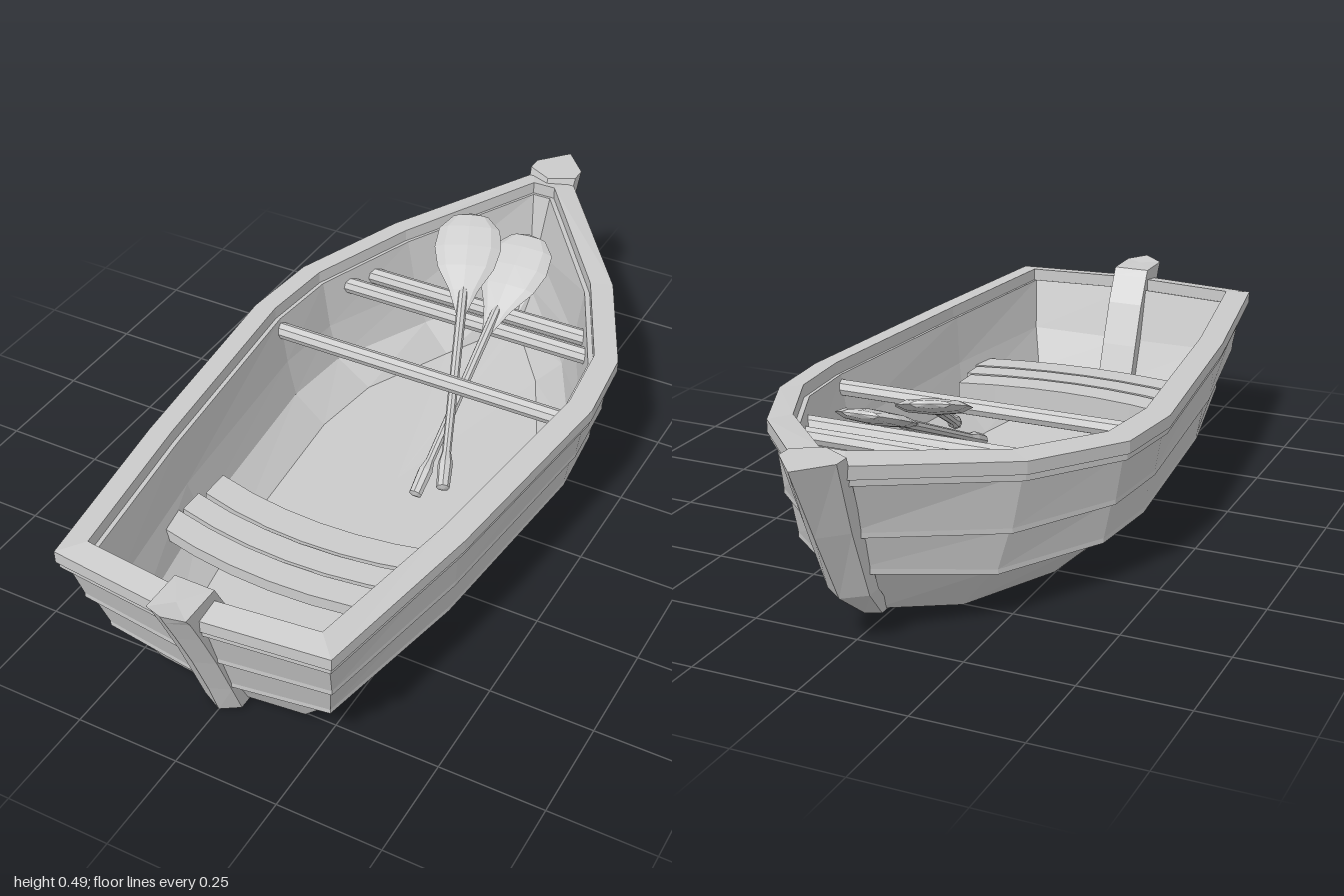
import * as THREE from 'three';

const material = new THREE.MeshStandardMaterial({ color: 0xcccccc, flatShading: true, side: THREE.DoubleSide });

// Half outlines [x, y, z] from stern centre to bow, one for each plank seam
const seams = [
  [[0, .025, .79], [.185, .025, .77], [.25, .025, .4], [.29, .025, -.1], [.265, .025, -.3], [.15, .025, -.54], [.02, .06, -.7]],
  [[0, .112, .835], [.27, .13, .81], [.345, .125, .42], [.392, .125, -.1], [.372, .125, -.3], [.235, .132, -.56], [.025, .19, -.79]],
  [[0, .225, .88], [.3, .235, .85], [.37, .228, .44], [.418, .222, -.1], [.4, .222, -.3], [.27, .232, -.56], [.03, .285, -.83]],
  [[0, .35, .925], [.323, .35, .89], [.39, .338, .45], [.445, .333, -.1], [.425, .337, -.3], [.3, .362, -.56], [.05, .422, -.87]],
];

// Full loop of a seam, pushed outward in plan by d and raised by dy
function outline(half, d = 0, dy = 0) {
  const pts = [...half, ...half.slice(1).reverse().map(([x, y, z]) => [-x, y, z])];
  const n = pts.length;
  const normal = (a, b) => {
    const dx = b[0] - a[0], dz = b[2] - a[2], l = Math.hypot(dx, dz);
    return [-dz / l, dx / l];
  };
  return pts.map((p, i) => {
    const a = normal(pts[(i + n - 1) % n], p), b = normal(p, pts[(i + 1) % n]);
    const k = d / (1 + a[0] * b[0] + a[1] * b[1]);
    let x = p[0] + (a[0] + b[0]) * k;
    if (x * p[0] < 0) x = 0;
    return [x, p[1] + dy, p[2] + (a[1] + b[1]) * k];
  });
}

// Ring of the same size collapsed to one point, used to close ends
const collapse = (ring, point) => ring.map(() => point);
const centre = ring => [0, 1, 2].map(k => ring.reduce((s, p) => s + p[k], 0) / ring.length);
const capped = rings => {
  const a = rings[0], b = rings[rings.length - 1];
  return [collapse(a, centre(a)), ...rings, collapse(b, centre(b))];
};

// Skin of quads through a list of equal closed rings
function loft(rings, loop = false) {
  const pos = [];
  const same = (p, q) => p.every((v, k) => Math.abs(v - q[k]) < 1e-6);
  const tri = (a, b, c) => {
    if (!same(a, b) && !same(b, c) && !same(a, c)) pos.push(...a, ...b, ...c);
  };
  const n = rings[0].length;
  for (let i = 0; i < rings.length - (loop ? 0 : 1); i++) {
    const lo = rings[i], hi = rings[(i + 1) % rings.length];
    for (let j = 0; j < n; j++) {
      const k = (j + 1) % n;
      tri(lo[j], lo[k], hi[k]);
      tri(lo[j], hi[k], hi[j]);
    }
  }
  const g = new THREE.BufferGeometry();
  g.setAttribute('position', new THREE.Float32BufferAttribute(pos, 3));
  g.computeVertexNormals();
  return g;
}

function part(name, geometry, parent) {
  const mesh = new THREE.Mesh(geometry, material);
  mesh.name = name;
  parent.add(mesh);
  return mesh;
}

// Oar from handle end to blade tip: tapered shaft, knob and flattened blade
function oar(name, handle, tip, parent) {
  const group = new THREE.Group();
  group.name = name;
  const from = new THREE.Vector3(...handle), to = new THREE.Vector3(...tip);
  const length = from.distanceTo(to);
  const lathe = profile => new THREE.LatheGeometry(profile.map(([r, y]) => new THREE.Vector2(r, y)), 8).rotateX(Math.PI / 2);
  part('oarShaft', lathe([[0, 0], [.016, .005], [.018, .07], [.011, .1], [.013, length - .25], [0, length - .2]]), group);
  const blade = lathe([[0, -.34], [.016, -.3], [.036, -.24], [.072, -.17], [.085, -.11], [.078, -.05], [.045, -.01], [0, 0]]);
  part('oarBlade', blade.scale(1, .2, 1).translate(0, 0, length), group);
  group.position.copy(from);
  group.lookAt(to);
  parent.add(group);
}

export function createModel() {
  const boat = new THREE.Group();
  boat.name = 'rowingBoat';
  const [keel, low, mid, top] = seams;

  // Overlapping planks outside, plain lining inside
  const floor = outline(keel, -.02, .03);
  part('hull', loft([
    collapse(floor, [0, .025, 0]), outline(keel), outline(low),
    outline(low, .012, -.006), outline(low, .012, .006), outline(mid),
    outline(mid, .01, -.006), outline(mid, .01, .006), outline(top),
    outline(top, -.055, .015), outline(mid, -.045), outline(low, -.04),
    floor, collapse(floor, [0, .055, 0]),
  ]), boat);

  // Thin trim strip and the heavy rail above it
  const band = (lo, hi, out, inn, tilt) => loft([
    outline(top, inn, lo), outline(top, out, lo), outline(top, out, hi), outline(top, inn, hi + tilt),
  ], true);
  part('trimStrip', band(-.012, .004, .01, -.05, 0), boat);
  part('rail', band(.004, .034, .016, -.042, .009), boat);

  // Bow stem with a sharp leading edge: [y, tip z, shoulder z, back z, half width]
  const stem = [
    [.052, -.715, -.7, -.64, .035], [.13, -.82, -.78, -.69, .05],
    [.3, -.91, -.855, -.79, .055], [.475, -1, -.925, -.85, .065],
  ].map(([y, tip, sh, back, w]) => [
    [0, y, back], [w, y, sh + .04], [w, y, sh], [0, y, tip], [-w, y, sh], [-w, y, sh + .04],
  ]);
  part('bowStem', loft(capped(stem)), boat);

  // Stern post running through the transom: [y, front z, back z]
  const post = [
    [.005, .83, .71], [.1, .862, .75], [.22, .908, .79], [.33, .955, .83], [.4, .987, .865], [.43, 1, .875],
  ].map(([y, f, b]) => {
    const s = y < .01 || y > .42 ? (y > .2 ? -.01 : .01) : 0;
    return [[0, y, f], [.048, y + s, f - .02], [.048, y + s, b], [-.048, y + s, b], [-.048, y + s, f - .02]];
  });
  part('sternPost', loft(capped(post)), boat);

  // Stern seat of three bowed planks: [z start, z end, half width, thickness]
  [[.345, .42, .285, .065], [.428, .492, .3, .03], [.5, .568, .31, .03]].forEach(([z0, z1, w, t]) => {
    const rings = [];
    for (let i = 0; i <= 6; i++) {
      const u = i / 3 - 1, bow = .04 * (1 - u * u), y = .205;
      rings.push([[u * w, y - t, z0 + bow], [u * w, y, z0 + bow], [u * w, y, z1 + bow], [u * w, y - t, z1 + bow]]);
    }
    part('seatPlank', loft(capped(rings)), boat);
  });

  // Round cross bars between the sides: [z, half length]
  [[-.1, .392], [-.36, .35], [-.43, .325]].forEach(([z, w]) => {
    const bar = part('crossBar', new THREE.CylinderGeometry(.021, .021, w * 2, 8).rotateZ(Math.PI / 2), boat);
    bar.position.set(0, .315, z);
  });

  // Crossed oars resting on the bars
  oar('upperOar', [.185, .18, .12], [-.09, .49, -.57], boat);
  oar('lowerOar', [.115, .14, .13], [.065, .455, -.6], boat);
  return boat;
}
